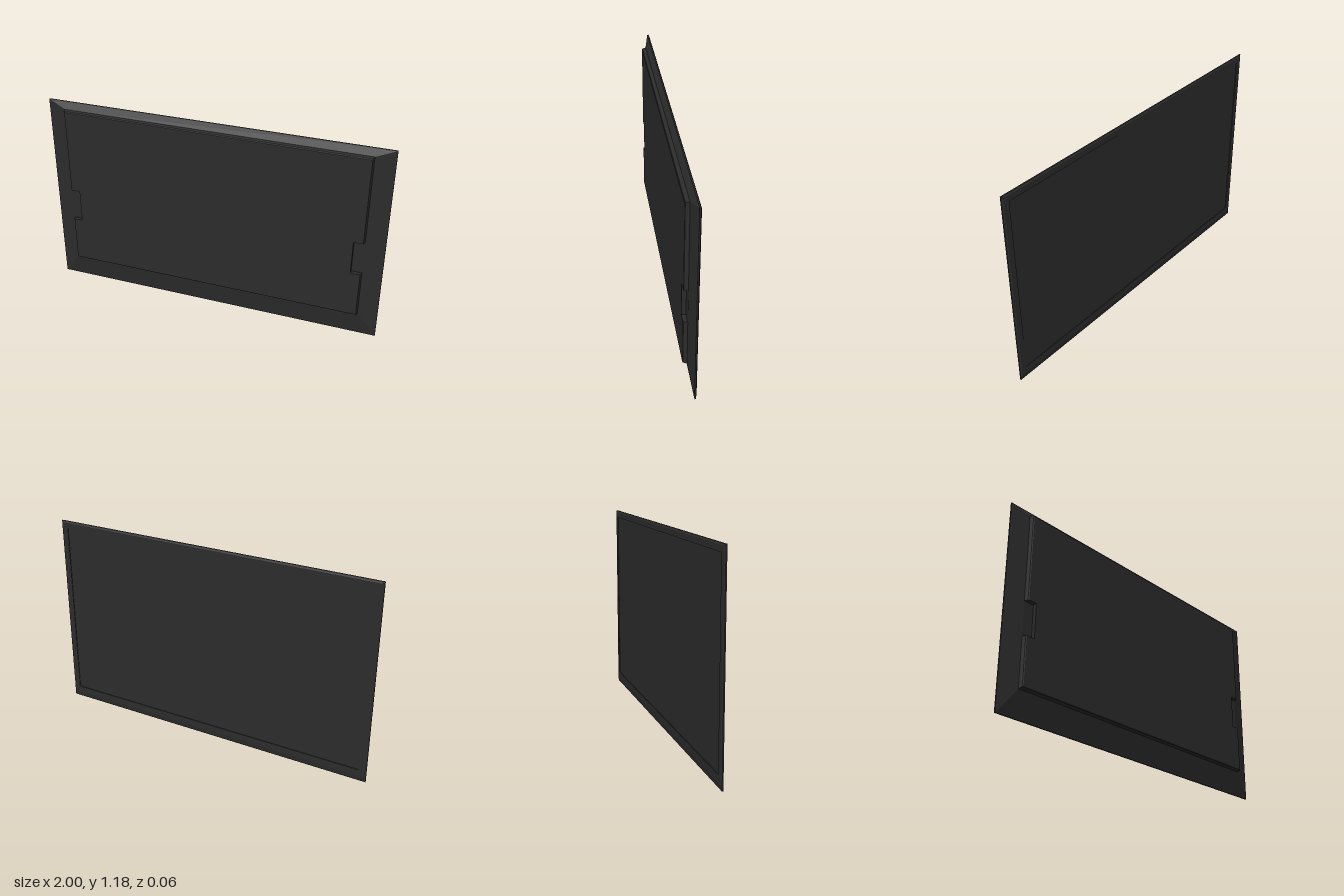
import * as THREE from 'three';

// Corner list of an upright rectangle, counter-clockwise seen from +z
const rect = (hx, y0, y1) => [[-hx, y0], [hx, y0], [hx, y1], [-hx, y1]];

// Rectangle with a notch in each side; the notch itself keeps its size
function notched(hx, y0, y1) {
  const nx = 0.83, n0 = 0.43, n1 = 0.63;
  return [
    [-hx, y0], [hx, y0], [hx, n0], [nx, n0], [nx, n1], [hx, n1],
    [hx, y1], [-hx, y1], [-hx, n1], [-nx, n1], [-nx, n0], [-hx, n0],
  ];
}

// Skin between outlines ordered from back to front, with optional end caps
function loft(rings, capBack, capFront) {
  const pos = [];
  const put = (ring, i) => {
    const p = ring.pts[i % ring.pts.length];
    pos.push(p[0], p[1], ring.z);
  };
  for (let k = 0; k + 1 < rings.length; k++) {
    const a = rings[k], b = rings[k + 1];
    for (let i = 0; i < a.pts.length; i++) {
      put(a, i); put(a, i + 1); put(b, i + 1);
      put(a, i); put(b, i + 1); put(b, i);
    }
  }
  const cap = (ring, flip) => {
    const contour = ring.pts.map((p) => new THREE.Vector2(p[0], p[1]));
    for (const f of THREE.ShapeUtils.triangulateShape(contour, [])) {
      (flip ? [f[0], f[2], f[1]] : f).forEach((i) => put(ring, i));
    }
  };
  if (capBack) cap(rings[0], true);
  if (capFront) cap(rings[rings.length - 1], false);
  const g = new THREE.BufferGeometry();
  g.setAttribute('position', new THREE.Float32BufferAttribute(pos, 3));
  g.computeVertexNormals();
  return g;
}

export function createModel() {
  const group = new THREE.Group();
  const material = new THREE.MeshStandardMaterial({ color: 0x2c2c2c });
  const add = (name, geometry) => {
    const mesh = new THREE.Mesh(geometry, material);
    mesh.name = name;
    group.add(mesh);
  };

  const opening = rect(0.957, 0.07, 1.142);
  const edge = rect(1, 0, 1.185);

  // Frame: recess wall, bezel, thin outer edge, then the slope to the shoulder
  add('frame', loft([
    { pts: opening, z: -0.026 },
    { pts: opening, z: -0.03 },
    { pts: rect(0.99, 0.03, 1.175), z: -0.03 },
    { pts: edge, z: -0.025 },
    { pts: edge, z: -0.018 },
    { pts: rect(0.89, 0.148, 1.145), z: 0.006 },
  ], false, true));

  // Display surface set slightly into the bezel
  const screen = new THREE.PlaneGeometry(1.914, 1.072);
  screen.rotateY(Math.PI).translate(0, 0.606, -0.026);
  add('screen', screen);

  // Raised housing with a grip notch on each side and a softened rim
  add('housing', loft([
    { pts: notched(0.89, 0.148, 1.145), z: 0.006 },
    { pts: notched(0.884, 0.154, 1.141), z: 0.027 },
    { pts: notched(0.879, 0.159, 1.137), z: 0.03 },
  ], false, true));

  return group;
}
